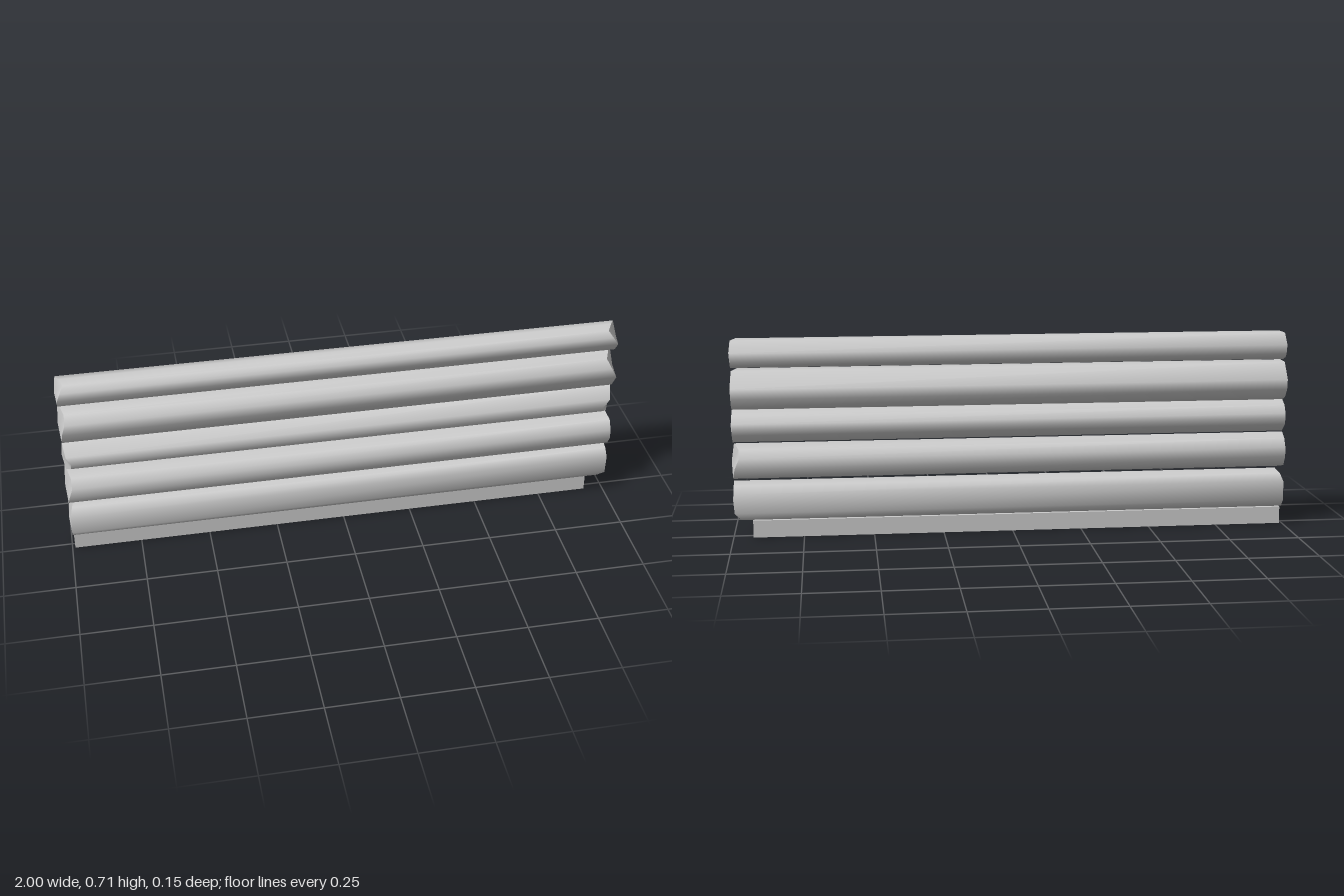
import * as THREE from 'three';

const material = new THREE.MeshStandardMaterial({ color: 0xcccccc });

// Each log is an ellipse (centre height y, half depth rz, half height ry) hewn into flats.
// Corners are degrees from the top towards the back; each end has one chip [direction, depth].
const LOGS = [
  { y: .13, rz: .07, ry: .073, corners: [0, 33, 62, 118, 147, 180, 213, 242, 298, 327],
    leftChip: [180, .045], rightChip: [0, .018] },
  { y: .274, rz: .073, ry: .071, corners: [16, 45, 74, 102, 136, 195, 225, 256, 285, 317],
    leftChip: [60, .025], rightChip: [300, .02] },
  { y: .402, rz: .06, ry: .059, corners: [10, 44, 76, 93, 117, 164, 195, 230, 258, 288, 344],
    leftChip: [245, .035], rightChip: [245, .025] },
  { y: .533, rz: .074, ry: .073, corners: [22, 82, 112, 143, 172, 202, 264, 292, 322, 351],
    leftChip: [322, .035], rightChip: [310, .02] },
  { y: .66, rz: .055, ry: .052, corners: [25, 83, 121, 143, 176, 201, 262, 292, 322, 353],
    leftChip: [322, .035], rightChip: [325, .025] },
];

// Smooth-sided log with rough, hand-cut ends
function makeLog({ y, rz, ry, corners, leftChip, rightChip }) {
  const n = corners.length;
  const positions = [], index = [];

  // Ring of corners at one end, pushed inwards around the chip
  const addRim = (side) => {
    const [direction, depth] = side > 0 ? leftChip : rightChip;
    for (const corner of corners) {
      const t = THREE.MathUtils.degToRad(corner);
      const facing = Math.max(0, Math.cos(t - THREE.MathUtils.degToRad(direction)));
      const x = side * (1 - .006 - depth * facing ** 4);
      positions.push(x, y + ry * Math.cos(t), -rz * Math.sin(t));
    }
  };

  // Bark
  addRim(-1);
  addRim(1);
  for (let i = 0; i < n; i++) {
    const j = (i + 1) % n;
    index.push(i, n + i, n + j, i, n + j, j);
  }

  // Cut ends, with their own vertices so the rim stays sharp
  for (const side of [1, -1]) {
    const start = positions.length / 3;
    const center = start + n;
    addRim(side);
    positions.push(side, y, 0);
    for (let i = 0; i < n; i++) {
      const a = start + i, b = start + (i + 1) % n;
      if (side > 0) index.push(center, b, a);
      else index.push(center, a, b);
    }
  }

  const geometry = new THREE.BufferGeometry();
  geometry.setAttribute('position', new THREE.Float32BufferAttribute(positions, 3));
  geometry.setIndex(index);
  geometry.computeVertexNormals();
  return new THREE.Mesh(geometry, material);
}

export function createModel() {
  const group = new THREE.Group();
  group.name = 'logWall';

  // Squared sill beam under the logs
  const sill = new THREE.Mesh(new THREE.BoxGeometry(1.92, .062, .055), material);
  sill.position.set(-.03, .031, -.003);
  sill.name = 'sillBeam';
  group.add(sill);

  // Stacked logs, bottom to top
  LOGS.forEach((spec, i) => {
    const log = makeLog(spec);
    log.name = `log${i + 1}`;
    group.add(log);
  });
  return group;
}
